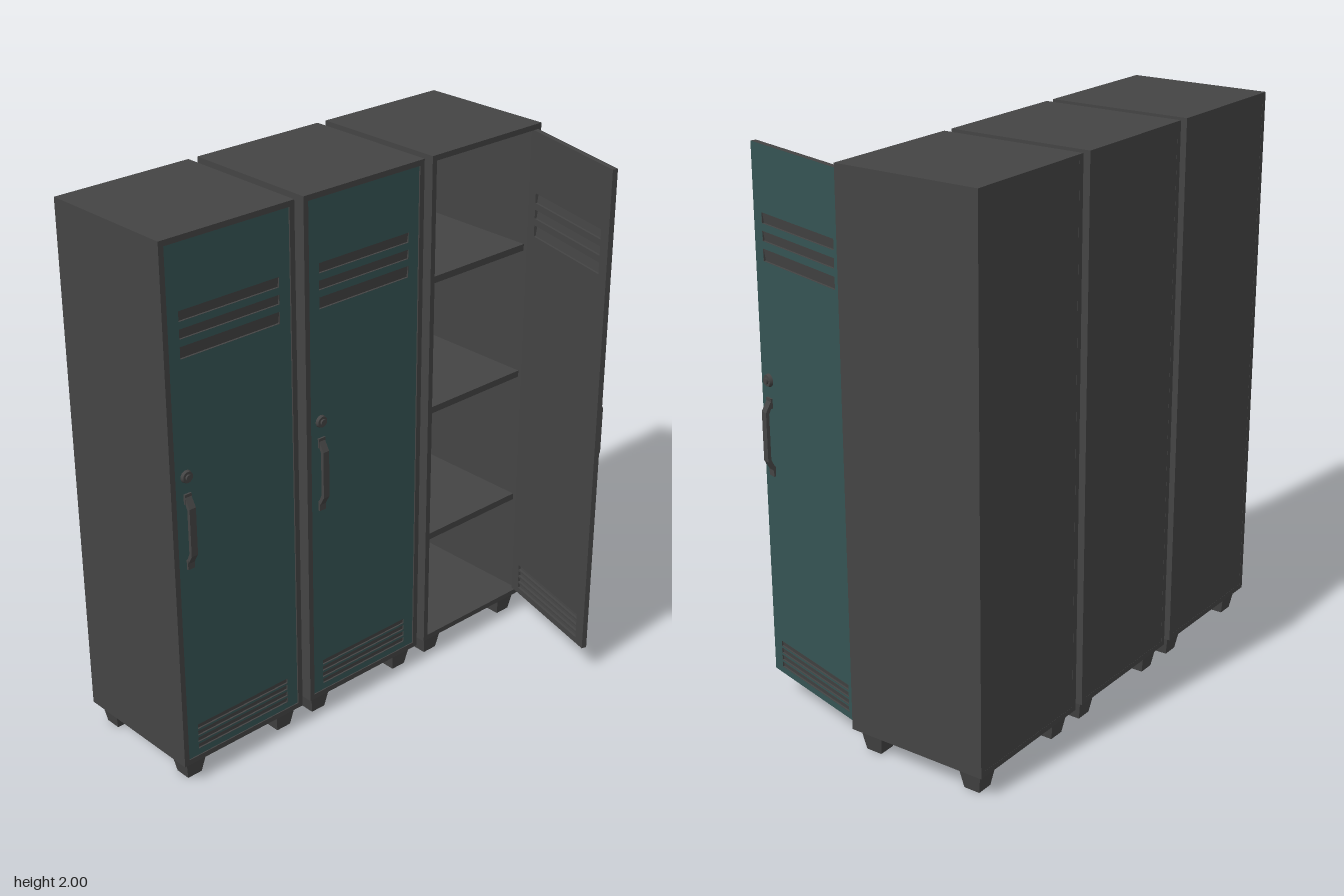
import * as THREE from 'three';

const grey = new THREE.MeshStandardMaterial({ color: 0x444444 });
grey.name = 'charcoal metal';
const green = new THREE.MeshStandardMaterial({ color: 0x355453 });
green.name = 'dark teal paint';

const W = 0.537, BACK = -0.497, FRONT = 0.035, WALL = 0.02;
const DOOR_W = 0.495, DOOR_H = 1.88, DOOR_T = 0.02, Y0 = 0.1;
const HINGE_X = DOOR_W / 2, HINGE_Z = 0.02;

// Vent slots as [centre height, slot height]
const SLOTS = [
  [1.738, 0.036], [1.678, 0.034], [1.615, 0.042],
  [0.215, 0.02], [0.188, 0.02], [0.161, 0.02], [0.134, 0.02],
];
const SLOT_W = 0.405;

function add(parent, name, geometry, material, x = 0, y = 0, z = 0) {
  const mesh = new THREE.Mesh(geometry, material);
  mesh.name = name;
  mesh.position.set(x, y, z);
  parent.add(mesh);
  return mesh;
}

function rect(Type, x0, y0, x1, y1) {
  return new Type([[x0, y0], [x1, y0], [x1, y1], [x0, y1]].map(p => new THREE.Vector2(...p)));
}

const extrude = (shape, depth) =>
  new THREE.ExtrudeGeometry(shape, { depth, bevelEnabled: false });

// Door built round its own middle plane, with the hinge edge at x = 0
function makeDoor() {
  const door = new THREE.Group();
  door.name = 'door';
  const mid = -HINGE_X;
  const shape = rect(THREE.Shape, -DOOR_W, Y0, 0, Y0 + DOOR_H);
  for (const [y, h] of SLOTS) {
    shape.holes.push(rect(THREE.Path, mid - SLOT_W / 2, y - h / 2, mid + SLOT_W / 2, y + h / 2));
  }
  add(door, 'doorSlab', extrude(shape, DOOR_T), grey, 0, 0, -DOOR_T / 2);
  add(door, 'paintedFace', new THREE.ShapeGeometry(shape), green, 0, 0, DOOR_T / 2 + 0.001);

  // Slanted slats closing the vent slots
  for (const [y, h] of SLOTS) {
    const slat = add(door, 'ventSlat', new THREE.BoxGeometry(SLOT_W, h * 1.02, 0.005), grey, mid, y, 0.003);
    slat.rotation.x = 0.15;
  }

  // Round lock with a small key barrel
  const hx = mid - 0.202, face = DOOR_T / 2;
  const lock = add(door, 'lock', new THREE.CylinderGeometry(0.02, 0.023, 0.012, 16), grey, hx, 1.187, face + 0.006);
  lock.rotation.x = Math.PI / 2;
  const barrel = add(door, 'lockBarrel', new THREE.CylinderGeometry(0.011, 0.011, 0.008, 12), grey, hx, 1.187, face + 0.015);
  barrel.rotation.x = Math.PI / 2;

  // Bowed pull handle: side profile (outward, up), extruded across its width
  const bow = new THREE.Shape([
    [0, 1.115], [0.008, 1.115], [0.028, 1.08], [0.028, 0.905], [0.008, 0.87], [0, 0.87],
    [0, 0.885], [0.004, 0.885], [0.016, 0.912], [0.016, 1.073], [0.004, 1.1], [0, 1.1],
  ].map(p => new THREE.Vector2(...p)));
  const handle = add(door, 'handle', extrude(bow, 0.026), grey, hx + 0.013, 0, face);
  handle.rotation.y = -Math.PI / 2;
  for (const y of [1.108, 0.865]) {
    add(door, 'handleMount', new THREE.BoxGeometry(0.028, 0.035, 0.008), grey, hx, y, face + 0.004);
  }
  return door;
}

function makeLocker(x, openAngle) {
  const locker = new THREE.Group();
  locker.name = 'locker';
  locker.position.x = x;

  // Hollow shell with a back panel
  const shell = rect(THREE.Shape, -W / 2, 0.08, W / 2, 2);
  shell.holes.push(rect(THREE.Path, -W / 2 + WALL, Y0, W / 2 - WALL, 2 - WALL));
  add(locker, 'shell', extrude(shell, FRONT - BACK), grey, 0, 0, BACK);
  add(locker, 'backPanel', new THREE.BoxGeometry(W - WALL, 1.9, WALL), grey, 0, 1.04, BACK + WALL / 2 + 0.0005);

  // Inner shelves
  for (const y of [0.498, 1.023, 1.528]) {
    add(locker, 'shelf', new THREE.BoxGeometry(W - 2 * WALL, 0.025, 0.47), grey, 0, y, -0.24);
  }

  // Tapered square feet
  for (const sx of [-1, 1]) {
    for (const sz of [-1, 1]) {
      const foot = new THREE.CylinderGeometry(0.044 * Math.SQRT2, 0.03 * Math.SQRT2, 0.08, 4, 1).toNonIndexed();
      foot.rotateY(Math.PI / 4);
      foot.computeVertexNormals();
      add(locker, 'foot', foot, grey, sx * 0.204, 0.04, -0.23 + sz * 0.203);
    }
  }

  const door = makeDoor();
  door.position.set(HINGE_X, 0, HINGE_Z);
  door.rotation.y = openAngle;
  locker.add(door);
  return locker;
}

export function createModel() {
  const model = new THREE.Group();
  model.name = 'lockerRow';
  const open = THREE.MathUtils.degToRad(75);
  [[-0.575, 0], [0, 0], [0.575, open]].forEach(([x, a]) => model.add(makeLocker(x, a)));
  return model;
}
